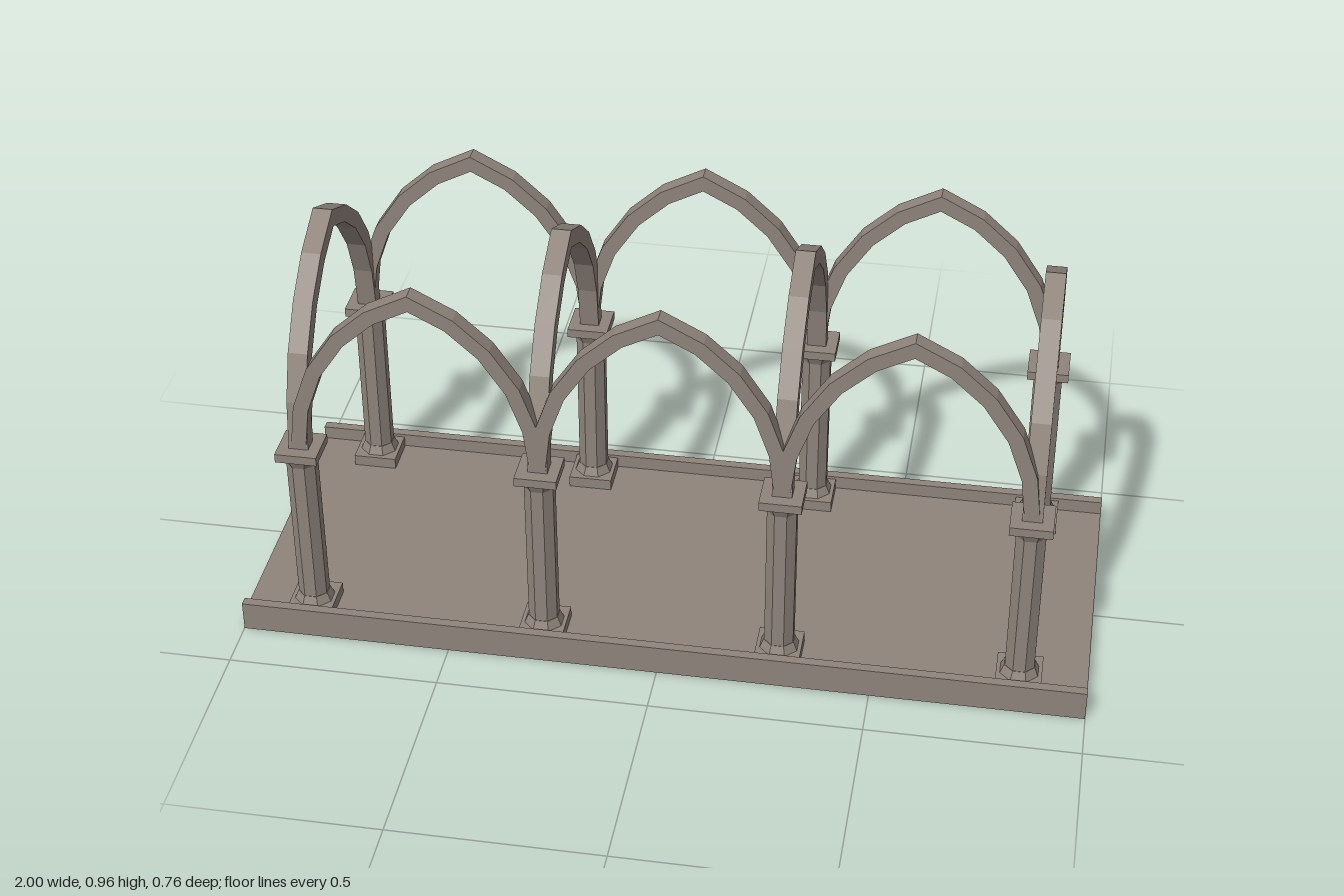
import * as THREE from 'three';

export function createModel() {
  const group = new THREE.Group();
  group.name = 'archedColonnade';
  const stone = new THREE.MeshStandardMaterial({ color: 0x8f847b, flatShading: true });
  stone.name = 'warm grey stone';

  const add = (name, geometry, x, y, z, parent = group) => {
    const mesh = new THREE.Mesh(geometry, stone);
    mesh.name = name;
    mesh.position.set(x, y, z);
    parent.add(mesh);
    return mesh;
  };

  // Octagonal drum with flat sides facing the axes; sizes are half widths
  const octagon = (top, bottom, height) => {
    const k = 1 / Math.cos(Math.PI / 8);
    return new THREE.CylinderGeometry(top * k, bottom * k, height, 8).rotateY(Math.PI / 8);
  };

  // Right half of the pointed arch's centre line, from springing to apex
  const profile = [[1, 0.51], [0.95, 0.624], [0.819, 0.727], [0.6, 0.819], [0.325, 0.889], [0, 0.936]];

  // Pointed arch with mitred facets, centred on its own depth
  const archGeometry = (halfSpan, thickness, depth) => {
    const right = profile.map(([u, y]) => new THREE.Vector2(u * halfSpan, y));
    const left = right.slice(0, -1).reverse().map(p => new THREE.Vector2(-p.x, p.y));
    const line = [...right, ...left];
    const last = line.length - 1;
    const normal = (a, b) => new THREE.Vector2(b.y - a.y, a.x - b.x).normalize();
    const outer = [], inner = [];
    line.forEach((p, i) => {
      let offset;
      if (i === 0 || i === last) {
        offset = new THREE.Vector2(i === 0 ? 1 : -1, 0);
      } else {
        const n = normal(line[i - 1], p);
        offset = n.clone().add(normal(p, line[i + 1])).normalize();
        offset.divideScalar(offset.dot(n));
      }
      outer.push(p.clone().addScaledVector(offset, thickness / 2));
      inner.push(p.clone().addScaledVector(offset, -thickness / 2));
    });
    const shape = new THREE.Shape([...outer, ...inner.reverse()]);
    return new THREE.ExtrudeGeometry(shape, { depth, bevelEnabled: false }).translate(0, 0, -depth / 2);
  };

  // Floor slab with a low curb along each long side
  add('floorSlab', new THREE.BoxGeometry(2, 0.04, 0.76), 0, 0.02, 0);
  for (const s of [1, -1]) {
    add('curb', new THREE.BoxGeometry(2, 0.034, 0.023), 0, 0.057, s * 0.3685);
  }

  const columnX = [-0.84, -0.28, 0.28, 0.84];
  const columnZ = 0.31;
  const plinth = new THREE.BoxGeometry(0.106, 0.028, 0.1);
  const foot = octagon(0.035, 0.044, 0.022);
  const shaft = octagon(0.034, 0.034, 0.38);
  const flare = octagon(0.045, 0.034, 0.025);
  const slab = new THREE.BoxGeometry(0.098, 0.022, 0.098);

  // Columns
  for (const s of [1, -1]) {
    for (const x of columnX) {
      const column = new THREE.Group();
      column.name = 'column';
      column.position.set(x, 0, s * columnZ);
      add('plinth', plinth, 0, 0.054, s * -0.005, column);
      add('foot', foot, 0, 0.079, 0, column);
      add('shaft', shaft, 0, 0.278, 0, column);
      add('capitalFlare', flare, 0, 0.478, 0, column);
      add('capitalSlab', slab, 0, 0.5, 0, column);
      group.add(column);
    }
  }

  // Arches along each side
  const sideArch = archGeometry(0.28, 0.035, 0.04);
  for (const s of [1, -1]) {
    for (const x of [-0.56, 0, 0.56]) add('sideArch', sideArch, x, 0, s * columnZ);
  }

  // Arches spanning across the floor
  const crossArch = archGeometry(columnZ, 0.04, 0.046).rotateY(Math.PI / 2);
  for (const x of columnX) add('crossArch', crossArch, x, 0, 0);

  return group;
}
